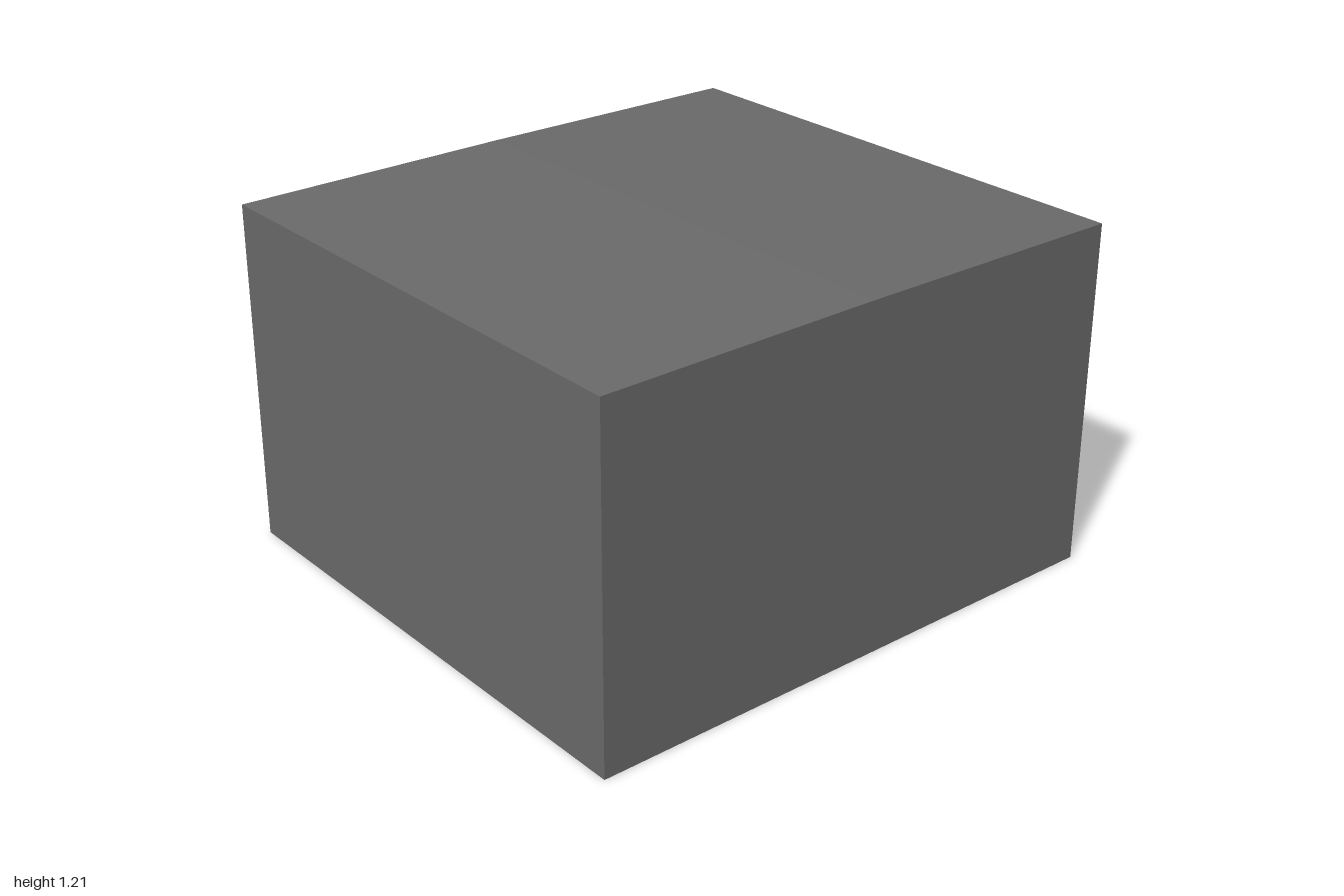
import * as THREE from 'three';

const EAVE = 1.2, RIDGE = 1.205, WALL = 0.1, FLOOR = 0.03, CEILING = 1.1;
const FRONT = 1, BACK = -0.864, PORCH = -1;

const outline = (points, Type = THREE.Shape) =>
  new Type(points.map(([x, y]) => new THREE.Vector2(x, y)));

// Building cross-section with a barely pitched roof
const building = () => outline([[-1, 0], [1, 0], [1, EAVE], [0, RIDGE], [-1, EAVE]]);

// Room cross-section
const room = () => outline(
  [[-0.9, FLOOR], [-0.9, CEILING], [0.9, CEILING], [0.9, FLOOR]], THREE.Path);

// Doorway with clipped upper corners
const doorway = () => outline([
  [-0.23, FLOOR], [-0.23, 0.35], [-0.18, 0.4],
  [0.18, 0.4], [0.23, 0.35], [0.23, FLOOR]], THREE.Path);

const porch = () => outline([[-0.27, 0], [0.27, 0], [0.27, 0.456], [-0.27, 0.456]]);

export function createModel() {
  const group = new THREE.Group();
  const material = new THREE.MeshStandardMaterial({ color: 0x6a6a6a, flatShading: true });

  // Extrude a profile between two depths, with an optional opening
  const addSlab = (name, shape, hole, z0, z1) => {
    if (hole) shape.holes.push(hole);
    const geometry = new THREE.ExtrudeGeometry(shape, { depth: z1 - z0, bevelEnabled: false });
    geometry.translate(0, 0, z0);
    const mesh = new THREE.Mesh(geometry, material);
    mesh.name = name;
    group.add(mesh);
  };

  addSlab('frontWall', building(), null, FRONT - WALL, FRONT);
  addSlab('roomShell', building(), room(), BACK + WALL, FRONT - WALL);
  addSlab('backWall', building(), doorway(), BACK, BACK + WALL);
  addSlab('doorFrame', porch(), doorway(), PORCH, BACK);

  return group;
}
